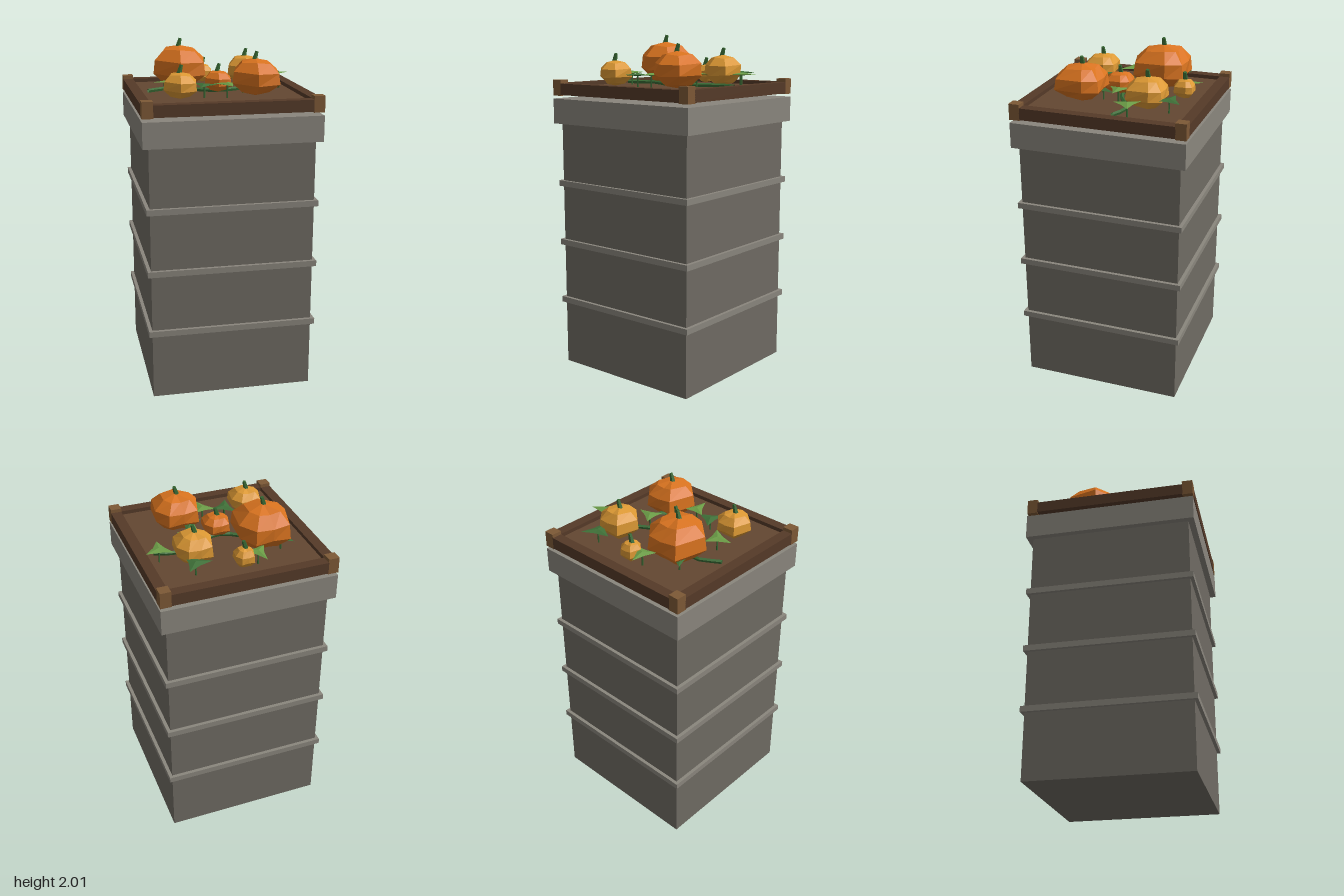
import * as THREE from 'three';

const mat = (color) => new THREE.MeshStandardMaterial({ color, flatShading: true, side: THREE.DoubleSide });
const stone = mat(0x6f6b63), trim = mat(0x8a867d);
const darkWood = mat(0x553a28), lightWood = mat(0x7d5936), soil = mat(0x634731);
const orange = mat(0xd9731f), amber = mat(0xdd9934);
const stemGreen = mat(0x3a6b35), leafDark = mat(0x3f7038), leafLight = mat(0x6b9c46);

function add(parent, name, geometry, material, x = 0, y = 0, z = 0) {
  const mesh = new THREE.Mesh(geometry, material);
  mesh.name = name;
  mesh.position.set(x, y, z);
  parent.add(mesh);
  return mesh;
}

// Box given by its bottom and top heights
function slab(parent, name, material, w, d, y0, y1, x = 0, z = 0) {
  return add(parent, name, new THREE.BoxGeometry(w, y1 - y0, d), material, x, (y0 + y1) / 2, z);
}

// Indexed flat-shaded faces from a list of points
function facets(points, index) {
  const g = new THREE.BufferGeometry();
  g.setAttribute('position', new THREE.Float32BufferAttribute(points.flat(), 3));
  g.setIndex(index);
  const flat = g.toNonIndexed();
  flat.computeVertexNormals();
  return flat;
}

// Uneven plan outline of a pumpkin, for a unit radius (x, z)
const outline = [[-0.94, 0.27], [-0.1, 1], [0.77, 0.84], [0.92, -0.3], [0.53, -0.83], [-0.06, -0.87], [-0.64, -0.83]];

// Squat faceted body: rings of the outline between two poles
function pumpkinGeometry(r, h) {
  const n = outline.length, points = [[0, h, 0]], index = [];
  const rings = [[0.9, 0.6], [0.655, 0.99], [0.345, 1], [0.1, 0.6]];
  rings.forEach(([y, s], j) => outline.forEach(([x, z], i) => {
    const wobble = 1 - 0.05 * ((i + j) % 2);
    points.push([x * r * s * wobble, h * (y + 0.025 * Math.sin(i * 2.3 + j)), z * r * s * wobble]);
  }));
  points.push([0, 0, 0]);
  const last = points.length - 1;
  for (let i = 0; i < n; i++) {
    const k = (i + 1) % n;
    index.push(0, 1 + i, 1 + k);
    for (let j = 0; j < rings.length - 1; j++) {
      const a = 1 + j * n + i, b = 1 + j * n + k;
      index.push(a, a + n, b, b, a + n, b + n);
    }
    index.push(last, last - n + k, last - n + i);
  }
  return facets(points, index);
}

// Three-pointed leaf with a raised middle and slightly hollow sides
function leafGeometry(tips) {
  const cx = tips.reduce((s, p) => s + p[0], 0) / 3, cz = tips.reduce((s, p) => s + p[1], 0) / 3;
  const rim = [];
  tips.forEach(([x, z], i) => {
    const [nx, nz] = tips[(i + 1) % 3];
    const mx = (x + nx) / 2, mz = (z + nz) / 2;
    rim.push([x - cx, 0, z - cz]);
    rim.push([(mx - cx) * 0.8, 0, (mz - cz) * 0.8]);
  });
  const points = [[0, 0.01, 0], [0, -0.008, 0], ...rim], index = [];
  for (let i = 0; i < 6; i++) {
    const a = 2 + i, b = 2 + (i + 1) % 6;
    index.push(0, b, a, 1, a, b);
  }
  return { geometry: facets(points, index), cx, cz };
}

export function createModel() {
  const model = new THREE.Group();
  model.name = 'pumpkinPlanter';

  // Stone pillar with three bands and a cap
  slab(model, 'pillar', stone, 0.94, 0.94, 0, 1.5);
  for (const y of [0.403, 0.767, 1.13]) slab(model, 'pillarBand', trim, 0.98, 0.98, y - 0.017, y + 0.017);
  slab(model, 'pillarCap', trim, 1.01, 1.01, 1.49, 1.637);

  // Wooden tray filled with soil
  const tray = new THREE.Group();
  tray.name = 'tray';
  model.add(tray);
  slab(tray, 'soil', soil, 0.9, 0.9, 1.665, 1.705);
  for (const s of [-1, 1]) {
    slab(tray, 'traySide', darkWood, 0.89, 0.06, 1.66, 1.727, 0, s * 0.475);
    slab(tray, 'traySide', darkWood, 0.06, 0.89, 1.66, 1.727, s * 0.475, 0);
    for (const t of [-1, 1]) slab(tray, 'cornerPost', lightWood, 0.062, 0.062, 1.655, 1.747, s * 0.474, t * 0.474);
  }

  // Pumpkins: x, z, radius, top height, material
  const ground = 1.71;
  for (const [x, z, r, top, material] of [
    [-0.195, -0.165, 0.172, 1.963, orange], [0.185, 0.195, 0.15, 1.92, orange],
    [0, 0.035, 0.087, 1.835, orange], [-0.255, 0.235, 0.104, 1.86, amber],
    [0.215, -0.2, 0.12, 1.89, amber], [-0.02, -0.345, 0.063, 1.825, amber],
  ]) {
    const pumpkin = new THREE.Group();
    pumpkin.name = 'pumpkin';
    pumpkin.position.set(x, ground, z);
    const h = top - ground;
    add(pumpkin, 'pumpkinBody', pumpkinGeometry(r, h), material);
    const stem = add(pumpkin, 'pumpkinStem', new THREE.CylinderGeometry(0.01, 0.016, 0.055, 5), stemGreen, 0, h + 0.013, 0);
    stem.rotation.z = -0.28;
    model.add(pumpkin);
  }

  // Vine creeping over the soil
  const vine = new THREE.CatmullRomCurve3(
    [[-0.4, -0.04], [-0.26, -0.11], [-0.13, -0.05], [-0.03, 0.01], [0.09, -0.005], [0.25, -0.09], [0.32, -0.09], [0.4, -0.06]]
      .map(([x, z]) => new THREE.Vector3(x, 1.715, z)));
  add(model, 'vine', new THREE.TubeGeometry(vine, 14, 0.012, 5), stemGreen);

  // Leaves on thin stalks: three tips each (x, z), height, material
  for (const [tips, y, material] of [
    [[[-0.115, -0.435], [-0.03, -0.31], [-0.155, -0.285]], 1.78, leafLight],
    [[[0.31, -0.41], [0.285, -0.25], [0.16, -0.345]], 1.78, leafDark],
    [[[0.325, -0.2], [0.475, -0.17], [0.38, -0.055]], 1.783, leafLight],
    [[[0.12, -0.08], [0.25, -0.005], [0.125, 0.05]], 1.783, leafLight],
    [[[-0.26, -0.03], [-0.225, 0.12], [-0.38, 0.06]], 1.78, leafLight],
    [[[-0.155, 0.12], [-0.03, 0.195], [-0.145, 0.28]], 1.777, leafDark],
    [[[-0.055, 0.185], [0.075, 0.175], [0.03, 0.315]], 1.783, leafLight],
    [[[0.19, 0.01], [0.17, 0.12], [0.05, 0.135]], 1.765, leafDark],
    [[[-0.33, -0.305], [-0.2, -0.25], [-0.3, -0.17]], 1.775, leafDark],
  ]) {
    const { geometry, cx, cz } = leafGeometry(tips);
    add(model, 'leaf', geometry, material, cx, y, cz);
    add(model, 'leafStalk', new THREE.CylinderGeometry(0.005, 0.005, y - 1.7, 5), stemGreen, cx, (y + 1.7) / 2, cz);
  }
  return model;
}
